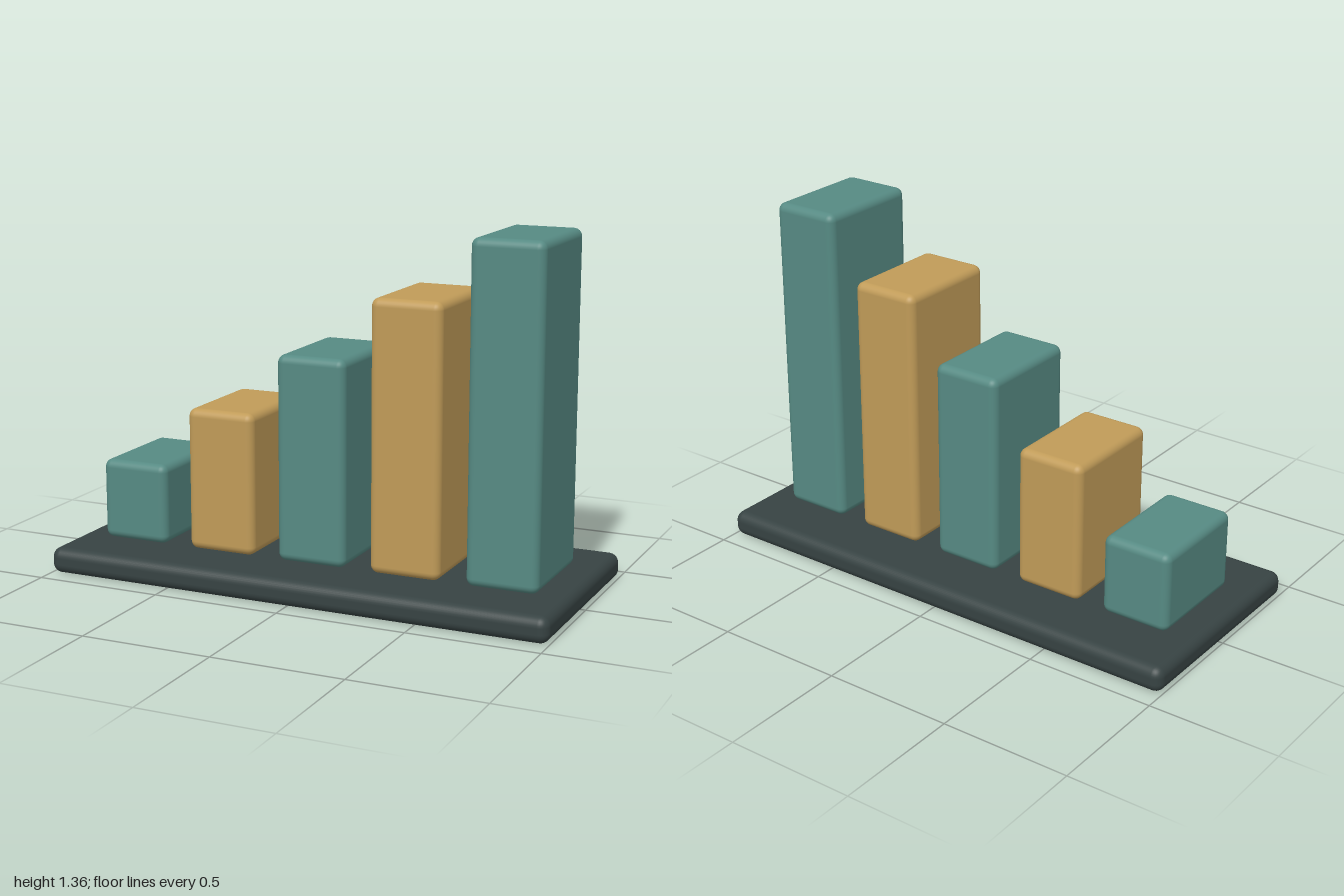
import * as THREE from 'three';
import { RoundedBoxGeometry } from 'three/addons/geometries/RoundedBoxGeometry.js';

const material = (name, color) => {
  const m = new THREE.MeshStandardMaterial({ color });
  m.name = name;
  return m;
};

// Rounded block standing on the height y
function block(name, mat, [w, h, d], radius, x, y) {
  const mesh = new THREE.Mesh(new RoundedBoxGeometry(w, h, d, 4, radius), mat);
  mesh.name = name;
  mesh.position.set(x, y + h / 2, 0);
  return mesh;
}

export function createModel() {
  const group = new THREE.Group();
  group.name = 'barChart';
  const slate = material('slate', 0x374343);
  const teal = material('teal', 0x568a83);
  const gold = material('gold', 0xc09b58);

  // Base slab
  const baseHeight = 0.1;
  group.add(block('base', slate, [2, baseHeight, 0.875], 0.038, 0, 0));

  // Five bars rising from left to right, in alternating colours
  for (let i = 0; i < 5; i++) {
    const height = 0.3125 + i * 0.2363;
    const mat = i % 2 ? gold : teal;
    group.add(block(`bar${i + 1}`, mat, [0.275, height, 0.4375], 0.031, (i - 2) * 0.375, baseHeight));
  }
  return group;
}
